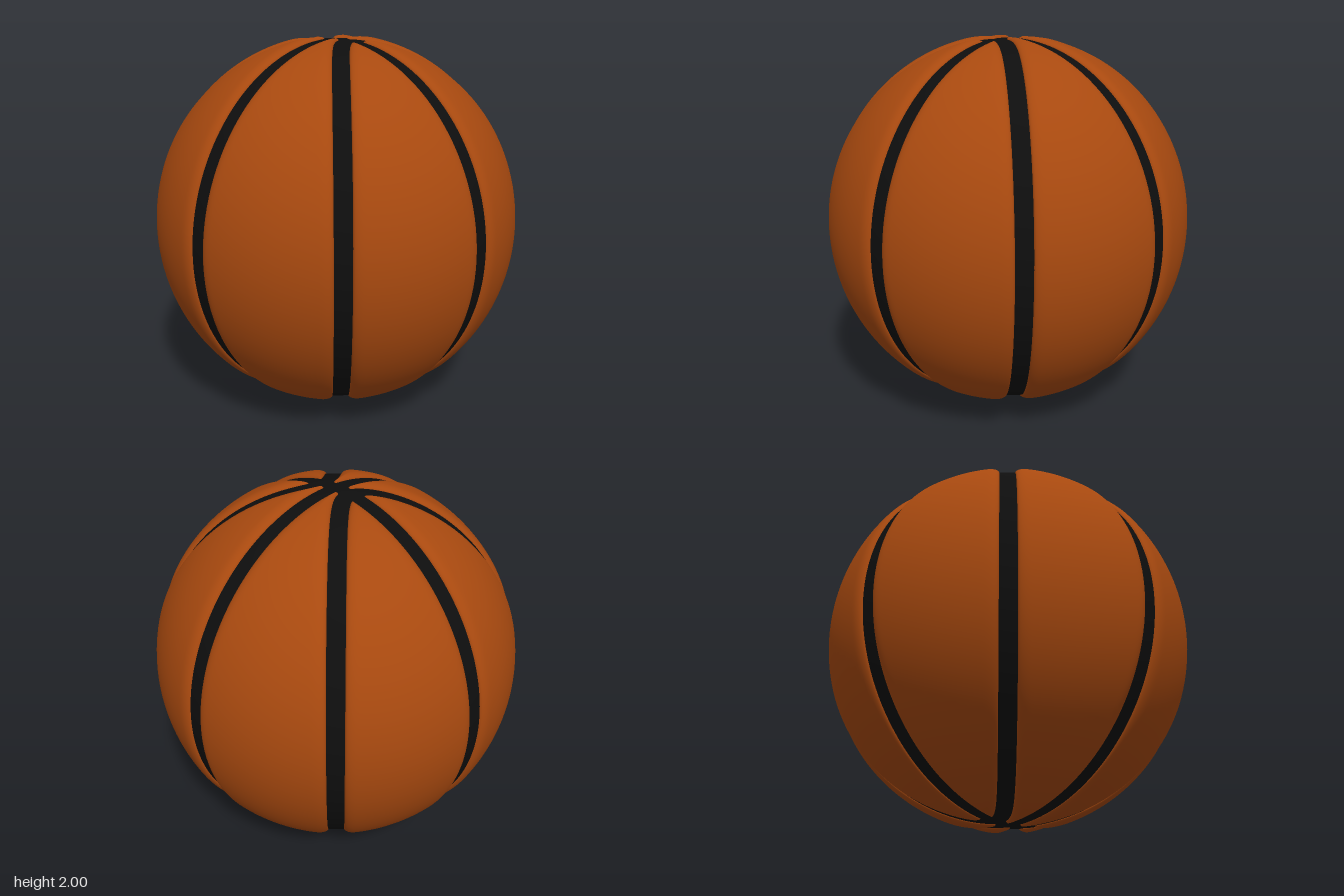
import * as THREE from 'three';

const A = 0.988, B = 1.012;      // horizontal and vertical radius of the ball
const HALF = 0.043;              // half width of a seam
const BEND = 0.1;                // how far the diagonal seams pass from the pole
const FLOOR = 0.977;             // seam floor relative to the panel surface
const ROLL = 0.06;               // width of the rounded panel edge

// Signed distance, seen from above, to the bent diagonal seam z^2 = x^2 + BEND^2
function diagonal(x, z) {
  const q = x * x + BEND * BEND;
  return (z - Math.sqrt(q)) / Math.sqrt(1 + x * x / q);
}

// Smallest value in [lo, hi] where an increasing test turns true
function bisect(lo, hi, test) {
  for (let k = 0; k < 40; k++) {
    const mid = (lo + hi) / 2;
    if (test(mid)) hi = mid; else lo = mid;
  }
  return hi;
}

// Angles at which a panel starts and ends on the ring of radius rho
function span(rho, sideways) {
  const cut = Math.asin(Math.min(1, HALF / rho));
  const level = sideways ? -HALF : HALF;
  const diag = bisect(0, Math.PI / 2, (p) => diagonal(rho * Math.cos(p), rho * Math.sin(p)) > level);
  return sideways
    ? [cut, Math.min(Math.PI / 2 - cut, diag)]
    : [Math.max(cut, diag), Math.PI / 2 - cut];
}

// One padded panel running from pole to pole in the quadrant (sx, sz)
function panelGeometry(sx, sz, sideways) {
  const rows = 110, cols = 30, pos = [], index = [];
  const tip = bisect(0.01, Math.PI / 2, (t) => {
    const [s, e] = span(A * Math.sin(t), sideways);
    return e > s;
  });
  const ease = (u, k) => u - k * Math.sin(2 * Math.PI * u) / (2 * Math.PI);
  for (let i = 0; i <= rows; i++) {
    const theta = tip + (Math.PI - 2 * tip) * ease(i / rows, 0.75);
    const rho = A * Math.sin(theta);
    const [s, e] = span(rho, sideways);
    for (let j = 0; j <= cols; j++) {
      const phi = s + (e - s) * ease(j / cols, 0.85);
      const x = rho * Math.cos(phi), z = rho * Math.sin(phi);
      const d = Math.min(x, z, Math.abs(diagonal(x, z))) - HALF;
      const t = Math.min(1, Math.max(0, d / ROLL));
      const low = FLOOR - 0.003;
      const r = low + (1 - low) * Math.sqrt(1 - (1 - t) ** 2);
      pos.push(sx * x * r, B * Math.cos(theta) * r, sz * z * r);
      if (i < rows && j < cols) {
        const a = i * (cols + 1) + j, b = a + 1, c = a + cols + 1, f = c + 1;
        if (sx * sz > 0) index.push(a, b, c, b, f, c);
        else index.push(a, c, b, b, c, f);
      }
    }
  }
  const g = new THREE.BufferGeometry();
  g.setAttribute('position', new THREE.Float32BufferAttribute(pos, 3));
  g.setIndex(index);
  g.computeVertexNormals();
  return g;
}

export function createModel() {
  const orange = new THREE.MeshStandardMaterial({ color: 0xa8490f });
  orange.name = 'orangeLeather';
  const black = new THREE.MeshStandardMaterial({ color: 0x0e0e0e });
  black.name = 'blackRubber';

  const ball = new THREE.Group();
  ball.name = 'ball';

  // Black core that shows through between the panels
  const core = new THREE.Mesh(new THREE.SphereGeometry(1, 128, 96), black);
  core.scale.set(A * FLOOR, B * FLOOR, A * FLOOR);
  core.name = 'seams';
  ball.add(core);

  // Eight panels, two in each quadrant
  for (const sx of [1, -1]) for (const sz of [1, -1]) for (const sideways of [true, false]) {
    const panel = new THREE.Mesh(panelGeometry(sx, sz, sideways), orange);
    panel.name = (sideways ? 'side' : sz > 0 ? 'front' : 'back') + 'Panel' + (sx > 0 ? 'Left' : 'Right');
    ball.add(panel);
  }

  ball.position.y = 1;
  const model = new THREE.Group();
  model.name = 'model';
  model.add(ball);
  return model;
}
